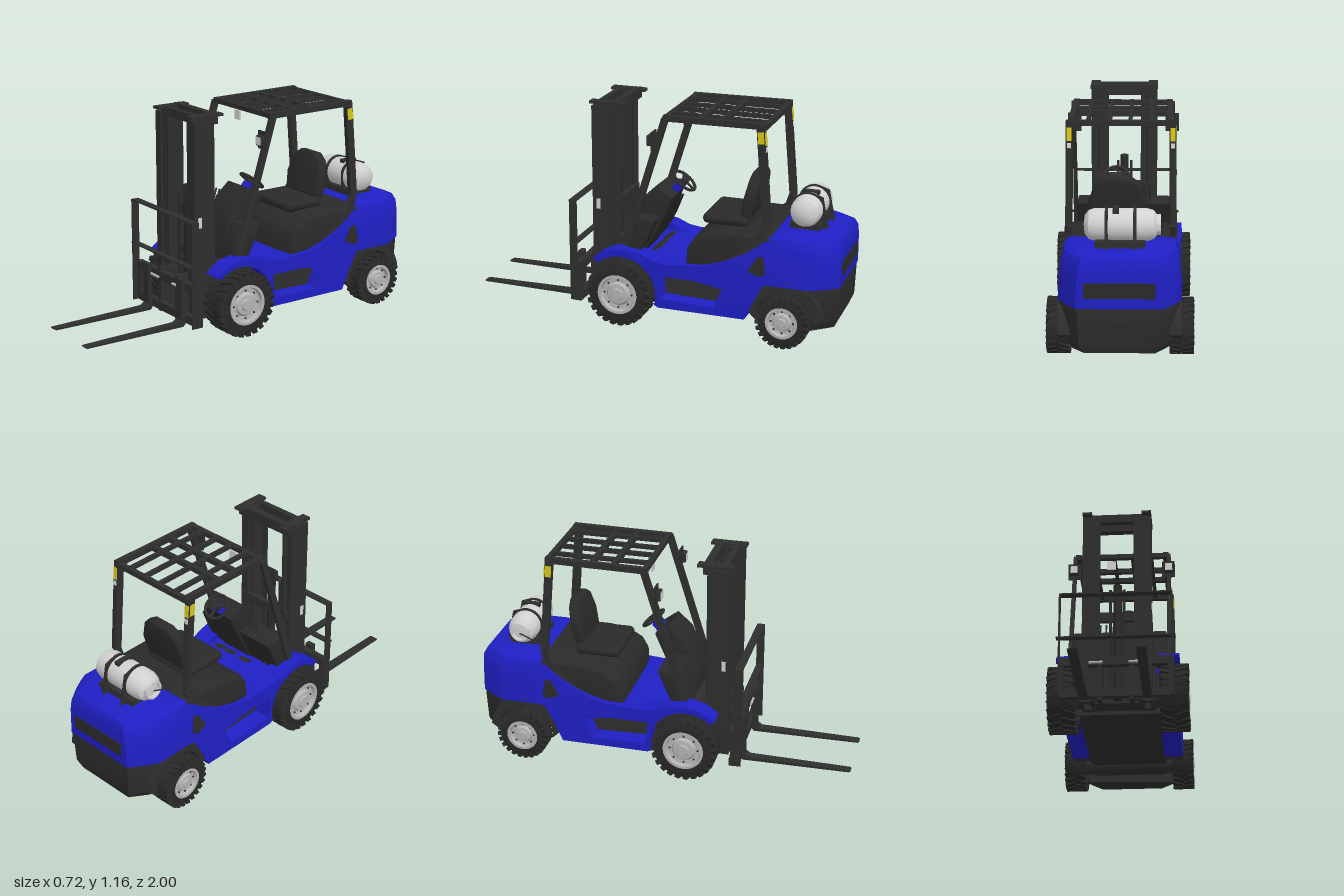
import * as THREE from 'three';
import { toCreasedNormals } from 'three/addons/utils/BufferGeometryUtils.js';
import { RoundedBoxGeometry } from 'three/addons/geometries/RoundedBoxGeometry.js';

const paint = (name, color) => Object.assign(new THREE.MeshStandardMaterial({ color }), { name });
const V = (x, y, z) => new THREE.Vector3(x, y, z);

export function createModel() {
  const blue = paint('body blue', 0x1f1fc4), black = paint('frame black', 0x2e2e2e);
  const rubber = paint('tyre rubber', 0x282828), grey = paint('rim grey', 0xb4b4b4);
  const white = paint('tank white', 0xd2d2d2), yellow = paint('label yellow', 0xd8c81c);
  const dark = paint('seat black', 0x2a2a2a);
  const root = new THREE.Group();
  root.name = 'forklift';

  function add(name, geo, mat, x = 0, y = 0, z = 0, parent = root) {
    const m = new THREE.Mesh(geo, mat);
    m.name = name;
    m.position.set(x, y, z);
    parent.add(m);
    return m;
  }
  const box = (name, mat, w, h, d, x, y, z, parent) => add(name, new THREE.BoxGeometry(w, h, d), mat, x, y, z, parent);
  const soft = (name, mat, w, h, d, x, y, z, r) => add(name, new RoundedBoxGeometry(w, h, d, 3, r), mat, x, y, z);
  const rod = (name, mat, r, h, x, y, z) => add(name, new THREE.CylinderGeometry(r, r, h, 14), mat, x, y, z);

  // straight bar of rectangular section between two points
  function beam(name, mat, a, b, w, d) {
    const m = box(name, mat, w, d, a.distanceTo(b), 0, 0, 0);
    m.position.copy(a).add(b).multiplyScalar(0.5);
    m.lookAt(b);
    return m;
  }
  // side outline given as [z, y], extruded to width w around x; lean(y) shifts x
  function slab(name, mat, pts, w, x, { hole, bevel = 0, lean } = {}) {
    const s = new THREE.Shape(pts.map(p => new THREE.Vector2(p[0], p[1])));
    if (hole) s.holes.push(new THREE.Path(hole.map(p => new THREE.Vector2(p[0], p[1]))));
    const depth = w - 2 * bevel;
    const g = new THREE.ExtrudeGeometry(s, { depth, bevelEnabled: bevel > 0, bevelSize: bevel, bevelThickness: bevel, bevelOffset: -bevel, bevelSegments: 3 });
    g.translate(0, 0, -depth / 2).rotateY(-Math.PI / 2);
    const p = g.attributes.position;
    if (lean) for (let i = 0; i < p.count; i++) p.setX(i, p.getX(i) + lean(p.getY(i)));
    return add(name, toCreasedNormals(g, 0.6), mat, x);
  }
  const arc = (cz, cy, r, a0, a1, n) => Array.from({ length: n + 1 }, (_, i) => {
    const a = THREE.MathUtils.degToRad(a0 + (a1 - a0) * i / n);
    return [cz + r * Math.cos(a), cy + r * Math.sin(a)];
  });
  // chamfered plan lofted through levels [y, halfWidth, frontZ, rearZ]
  function loft(name, mat, levels) {
    const rings = levels.map(([y, w, f, b]) => [[w, f], [w, b + 0.14], [w - 0.034, b + 0.08], [w - 0.09, b],
      [0.09 - w, b], [0.034 - w, b + 0.08], [-w, b + 0.14], [-w, f]].map(p => V(p[0], y, p[1])));
    const n = 8, pts = [];
    for (let k = 0; k + 1 < rings.length; k++) for (let i = 0; i < n; i++) {
      const j = (i + 1) % n, [a, b] = [rings[k], rings[k + 1]];
      pts.push(a[i], a[j], b[j], a[i], b[j], b[i]);
    }
    const lo = rings[0], hi = rings[rings.length - 1];
    for (let i = 1; i < n - 1; i++) pts.push(lo[0], lo[i + 1], lo[i], hi[0], hi[i], hi[i + 1]);
    return add(name, toCreasedNormals(new THREE.BufferGeometry().setFromPoints(pts), 0.55), mat);
  }

  // wheels: tyre, lugs, dished rim, hub and nuts
  function wheel(name, side, r, rimR, width, x, z) {
    const g = new THREE.Group(), h = width / 2, t = r - 0.008;
    g.name = name;
    const lathe = p => toCreasedNormals(new THREE.LatheGeometry(p.map(q => new THREE.Vector2(...q)), 40).rotateZ(-Math.PI / 2), 0.7);
    add('tyre', lathe([[rimR, -h], [t - 0.025, -h], [t - 0.006, -h + 0.008], [t, -h + 0.025], [t, h - 0.025], [t - 0.006, h - 0.008], [t - 0.025, h], [rimR, h], [rimR, -h]]), rubber, 0, 0, 0, g);
    add('rim', lathe([[0, -h + 0.02], [rimR, -h + 0.02], [rimR, h + 0.002], [rimR - 0.014, h + 0.002], [rimR - 0.02, h - 0.018], [rimR * 0.6, h - 0.02], [rimR * 0.5, h - 0.006], [rimR * 0.3, h - 0.004], [rimR * 0.26, h + 0.004], [0, h + 0.004]]), grey, 0, 0, 0, g);
    const count = 24;
    for (let i = 0; i < count; i++) for (const s of [-1, 1]) {
      const arm = new THREE.Group();
      arm.rotation.x = (i + (s > 0 ? 0.5 : 0)) / count * Math.PI * 2;
      const lug = box('lug', rubber, h * 0.98, 0.03, r * 0.15, s * h * 0.5, r - 0.016, 0, arm);
      lug.rotation.y = s * 0.35;
      g.add(arm);
    }
    for (let i = 0; i < 8; i++) {
      const a = i / 8 * Math.PI * 2, q = rimR * 0.7;
      const bolt = add('wheelBolt', new THREE.CylinderGeometry(0.005, 0.005, 0.014, 8), black, h - 0.02, q * Math.cos(a), q * Math.sin(a), g);
      bolt.rotation.z = Math.PI / 2;
    }
    g.position.set(side * x, r, z);
    if (side < 0) g.rotation.y = Math.PI;
    root.add(g);
  }

  // chassis, floor and axles
  box('chassis', black, 0.42, 0.22, 0.72, 0, 0.22, -0.26);
  box('frontChassis', black, 0.38, 0.2, 0.2, 0, 0.23, 0.13);
  box('rearChassis', black, 0.4, 0.2, 0.34, 0, 0.23, -0.75);
  box('floor', blue, 0.46, 0.025, 0.34, 0, 0.345, -0.06);
  for (const [z, y] of [[0.145, 0.175], [-0.74, 0.14]]) rod('axle', black, 0.045, 0.5, 0, y, z).rotation.z = Math.PI / 2;

  const panel = [...arc(0.145, 0.175, 0.192, 48, 196, 14), [-0.06, 0.11], [-0.53, 0.11], [-0.57, 0.2], [-0.62, 0.3], [-0.68, 0.34],
    [-0.68, 0.55], [-0.62, 0.53], [-0.52, 0.46], [-0.4, 0.4], [-0.3, 0.37], [-0.1, 0.355], [-0.03, 0.365], [0.04, 0.395], [0.14, 0.408], [0.23, 0.385], [0.3, 0.335]];
  const stepHole = [[-0.06, 0.285], [-0.25, 0.285], [-0.41, 0.26], [-0.36, 0.15], [-0.075, 0.16]];
  for (const s of [-1, 1]) {
    const id = s > 0 ? 'left' : 'right';
    wheel(id + 'FrontWheel', s, 0.175, 0.108, 0.145, 0.285, 0.145);
    wheel(id + 'RearWheel', s, 0.14, 0.084, 0.115, 0.3, -0.74);
    // side panel with fender and step, leaning in towards the top
    const lean = y => -s * Math.max(0, y - 0.4) * 0.17;
    slab(id + 'SidePanel', blue, panel, 0.1, s * 0.253, { hole: stepHole, lean });
    slab(id + 'FenderLip', blue, [...arc(0.145, 0.175, 0.2, 48, 125, 8), ...arc(0.145, 0.175, 0.228, 125, 48, 8)], 0.09, s * 0.267);
    slab(id + 'SideVent', dark, [[-0.545, 0.38], [-0.6, 0.355], [-0.635, 0.37], [-0.62, 0.46], [-0.59, 0.455]], 0.008, s * 0.303, { lean });
    // rear wheel arch
    slab(id + 'RearArch', black, [...arc(-0.74, 0.14, 0.152, -10, 185, 14), ...arc(-0.74, 0.14, 0.195, 175, 5, 14)], 0.09, s * 0.252);
  }

  // counterweight
  loft('counterweight', blue, [[0.31, 0.298, -0.6, -1], [0.46, 0.291, -0.56, -1], [0.52, 0.281, -0.6, -0.998], [0.555, 0.267, -0.64, -0.98], [0.57, 0.245, -0.67, -0.95]]);
  loft('lowerCounterweight', black, [[0.08, 0.26, -0.87, -0.97], [0.13, 0.285, -0.87, -0.99], [0.325, 0.294, -0.85, -0.996]]);
  box('rearGrille', dark, 0.34, 0.075, 0.008, 0, 0.4, -1);
  for (const x of [-0.12, 0.12]) box('rearSlot', dark, 0.07, 0.04, 0.008, x, 0.24, -0.993);
  box('towPin', dark, 0.08, 0.07, 0.02, 0, 0.2, -0.985);

  // engine hood and seat
  slab('engineHood', dark, [[-0.2, 0.35], [-0.205, 0.44], [-0.24, 0.5], [-0.32, 0.545], [-0.42, 0.56], [-0.66, 0.56], [-0.66, 0.35]], 0.55, 0, { bevel: 0.025 });
  soft('seatBase', dark, 0.26, 0.04, 0.2, 0.01, 0.56, -0.4, 0.015);
  soft('seatCushion', dark, 0.32, 0.055, 0.24, 0.01, 0.582, -0.375, 0.026);
  const back = new THREE.Shape([[-0.13, 0], [0.13, 0], [0.145, 0.1], [0.11, 0.2], [0.06, 0.235], [-0.06, 0.235], [-0.11, 0.2], [-0.145, 0.1]].map(p => new THREE.Vector2(...p)));
  const backGeo = new THREE.ExtrudeGeometry(back, { depth: 0.03, bevelSize: 0.012, bevelThickness: 0.014, bevelOffset: -0.012, bevelSegments: 3 });
  add('seatBack', toCreasedNormals(backGeo, 0.7), dark, 0.02, 0.6, -0.495).rotation.x = -0.2;

  // dashboard and steering
  slab('dashboard', dark, [[0.14, 0.36], [0.14, 0.5], [0.07, 0.66], [-0.01, 0.73], [-0.09, 0.67], [-0.03, 0.53], [0.06, 0.36]], 0.2, 0.06, { bevel: 0.012 });
  slab('cowl', dark, [[0.145, 0.36], [0.14, 0.49], [0.1, 0.575], [-0.02, 0.56], [0.02, 0.46], [0.07, 0.36]], 0.49, 0, { bevel: 0.01 });
  beam('steeringColumn', blue, V(0.04, 0.66, -0.05), V(0.04, 0.715, -0.1), 0.06, 0.045);
  const steer = new THREE.Group();
  steer.name = 'steeringWheel';
  add('wheelRing', new THREE.TorusGeometry(0.067, 0.008, 8, 30), black, 0, 0, 0, steer);
  for (let i = 0; i < 3; i++) box('spoke', black, 0.014, 0.066, 0.008, 0, 0, 0, steer).geometry.translate(0, 0.033, 0).rotateZ(i * 2.094);
  const hub = add('steeringHub', new THREE.CylinderGeometry(0.02, 0.02, 0.03, 14), black, 0, 0, 0, steer);
  hub.rotation.x = Math.PI / 2;
  steer.position.set(0.035, 0.73, -0.115);
  steer.rotation.x = -2.256;
  root.add(steer);
  for (let i = 0; i < 3; i++) rod('controlLever', black, 0.005, 0.12, -0.08 - i * 0.03, 0.61, 0.01).rotation.x = -0.3;
  for (const x of [-0.06, 0.05, 0.12]) box('pedal', black, 0.04, 0.015, 0.06, x, 0.38, 0.0).rotation.x = 0.6;

  // overhead guard
  for (const s of [-1, 1]) {
    beam('frontPillar', black, V(s * 0.257, 0.42, 0.13), V(s * 0.257, 1.12, -0.085), 0.02, 0.036);
    const path = [V(s * 0.25, 1.13, -0.585), V(s * 0.255, 0.62, -0.628), V(s * 0.26, 0.565, -0.61), V(s * 0.265, 0.37, -0.41)];
    for (let i = 0; i < 3; i++) beam('rearPillar', black, path[i], path[i + 1], 0.03, 0.04);
    beam('roofRail', black, V(s * 0.24, 1.12, -0.07), V(s * 0.24, 1.125, -0.61), 0.03, 0.03);
    // labels on the outer and rear faces of the pillar
    box('pillarSideLabel', yellow, 0.004, 0.06, 0.032, s * 0.267, 1.07, -0.59).rotation.x = 0.084;
    box('pillarRearLabel', yellow, 0.024, 0.065, 0.004, s * 0.251, 1.065, -0.612).rotation.x = 0.084;
    box('pillarTag', white, 0.02, 0.025, 0.004, s * 0.251, 1.01, -0.616).rotation.x = 0.084;
    // work lamp
    box('lampBracket', black, 0.07, 0.095, 0.008, s * 0.255, 1.003, -0.022);
    soft('lampHousing', black, 0.05, 0.056, 0.028, s * 0.258, 1.003, -0.006, 0.007);
    box('lampLens', white, 0.038, 0.04, 0.006, s * 0.258, 1.003, 0.008);
  }
  for (const z of [-0.085, -0.255, -0.37, -0.6]) box('roofCrossbar', black, 0.48, 0.026, 0.026, 0, 1.12, z);
  for (const x of [-0.15, -0.045, 0.055, 0.16]) box('roofSlat', black, 0.018, 0.022, 0.52, x, 1.124, -0.34);
  box('mirror', white, 0.048, 0.05, 0.008, -0.06, 1.072, -0.09);

  // gas tank
  const tank = [[0, -0.185], [0.045, -0.18], [0.07, -0.16], [0.079, -0.13], [0.079, 0.12], [0.07, 0.15], [0.05, 0.165], [0.05, 0.185], [0.04, 0.185], [0.04, 0.165], [0, 0.17]];
  const tankGeo = new THREE.LatheGeometry(tank.map(p => new THREE.Vector2(...p)), 32);
  add('gasTank', toCreasedNormals(tankGeo, 0.6), white, -0.01, 0.665, -0.79).rotation.z = Math.PI / 2;
  for (const x of [-0.07, 0.065]) {
    slab('tankStrap', black, [...arc(-0.79, 0.665, 0.086, 20, 115, 10), [-0.865, 0.73], [-0.9, 0.56], [-0.71, 0.56]], 0.015, x);
  }
  box('tankLatch', black, 0.03, 0.02, 0.09, 0.02, 0.74, -0.79);
  box('tankCradle', black, 0.24, 0.04, 0.16, 0, 0.583, -0.79);
  const hosePath = new THREE.CatmullRomCurve3([V(-0.19, 0.66, -0.79), V(-0.205, 0.65, -0.74), V(-0.19, 0.61, -0.68), V(-0.14, 0.56, -0.64)]);
  add('gasHose', new THREE.TubeGeometry(hosePath, 16, 0.004, 6), black);

  // mast
  for (const s of [-1, 1]) {
    box('outerMastWeb', black, 0.012, 1.05, 0.12, s * 0.172, 0.605, 0.285);
    for (const z of [0.235, 0.34]) box('outerMastFlange', black, 0.045, 1.05, 0.016, s * 0.155, 0.605, z);
    box('innerMastWeb', black, 0.025, 1.05, 0.09, s * 0.125, 0.62, 0.29);
    box('innerMastFlange', black, 0.035, 1.05, 0.014, s * 0.105, 0.62, 0.325);
    rod('liftCylinder', black, 0.014, 0.98, s * 0.13, 0.62, 0.226);
    box('mastTopPlate', black, 0.05, 0.014, 0.19, s * 0.155, 1.148, 0.265);
    box('mastLabel', white, 0.004, 0.055, 0.022, s * 0.179, 0.6, 0.315);
    beam('tiltCylinder', black, V(s * 0.15, 0.36, 0.22), V(s * 0.15, 0.33, 0.02), 0.04, 0.04);
    box('mastChain', dark, 0.014, 0.6, 0.01, s * 0.035, 0.42, 0.3);
    box('mastFoot', black, 0.06, 0.14, 0.12, s * 0.15, 0.18, 0.2);
  }
  box('mastTopBar', black, 0.35, 0.055, 0.04, 0, 1.13, 0.22);
  box('mastFrontTopBar', black, 0.26, 0.045, 0.03, 0, 1.132, 0.31);
  for (const y of [0.14, 0.38, 0.6]) box('mastCrossbar', black, 0.32, 0.05, 0.025, 0, y, 0.225);
  rod('centreCylinder', dark, 0.022, 0.64, 0, 0.44, 0.27);

  // carriage, load backrest and forks
  for (const [y, h] of [[0.275, 0.045], [0.105, 0.045]]) box('carriageBar', black, 0.58, h, 0.035, 0, y, 0.393);
  box('backrestTop', black, 0.57, 0.007, 0.04, 0, 0.64, 0.417);
  box('backrestMiddle', black, 0.6, 0.007, 0.035, 0, 0.4, 0.417);
  for (const s of [-1, 1]) {
    box('backrestPost', black, 0.007, 0.56, 0.042, s * 0.284, 0.362, 0.417);
    box('carriagePlate', black, 0.025, 0.24, 0.1, s * 0.08, 0.19, 0.35);
    box('carriageUpright', black, 0.016, 0.2, 0.03, s * 0.27, 0.19, 0.393);
    rod('sideShiftRod', grey, 0.007, 0.07, s * 0.1, 0.265, 0.415).rotation.z = Math.PI / 2;
    slab('fork', black, [[0.41, 0.32], [0.41, 0.075], [0.425, 0.063], [0.99, 0.07], [1, 0.074], [0.99, 0.078], [0.46, 0.084], [0.437, 0.1], [0.437, 0.32]], 0.046, s * 0.158);
  }
  return root;
}
